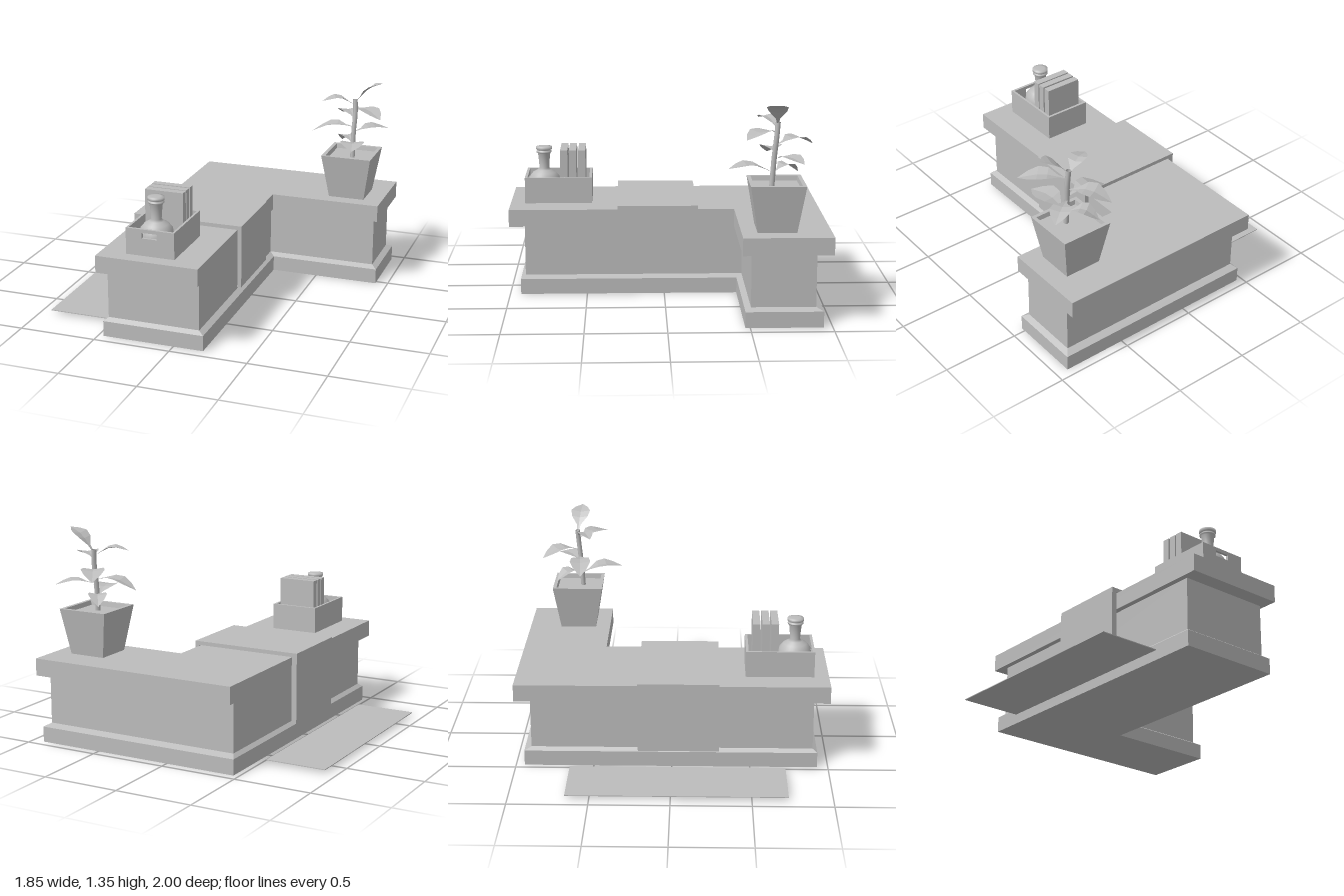
import * as THREE from 'three';

const plainGrey = new THREE.MeshStandardMaterial({ color: 0xbcbcbc, side: THREE.DoubleSide });

function add(parent, name, geometry, x = 0, y = 0, z = 0) {
  const mesh = new THREE.Mesh(geometry, plainGrey);
  mesh.name = name;
  mesh.position.set(x, y, z);
  parent.add(mesh);
  return mesh;
}

function addBox(parent, name, x0, x1, y0, y1, z0, z1) {
  return add(parent, name, new THREE.BoxGeometry(x1 - x0, y1 - y0, z1 - z0),
    (x0 + x1) / 2, (y0 + y1) / 2, (z0 + z1) / 2);
}

// Flat-sided solid through stacked outlines: rings are [y, [[x, z], ...]]
function loft(rings) {
  const pos = [];
  const put = (ring, i) => {
    const p = ring[1][i % ring[1].length];
    pos.push(p[0], ring[0], p[1]);
  };
  for (let r = 0; r < rings.length - 1; r++) {
    const a = rings[r], b = rings[r + 1];
    for (let i = 0; i < a[1].length; i++) {
      put(a, i); put(a, i + 1); put(b, i + 1);
      put(a, i); put(b, i + 1); put(b, i);
    }
  }
  const cap = (ring, flip) => {
    const contour = ring[1].map(([x, z]) => new THREE.Vector2(x, -z));
    for (const f of THREE.ShapeUtils.triangulateShape(contour, [])) {
      for (const i of flip ? [f[0], f[2], f[1]] : f) put(ring, i);
    }
  };
  cap(rings[0], true);
  cap(rings[rings.length - 1], false);
  const g = new THREE.BufferGeometry();
  g.setAttribute('position', new THREE.Float32BufferAttribute(pos, 3));
  g.computeVertexNormals();
  return g;
}

const ell = (x0, x1, xi, z0, z1, zi) =>
  [[x0, z1], [xi, z1], [xi, zi], [x1, zi], [x1, z0], [x0, z0]];
const square = (s) => [[-s, s], [s, s], [s, -s], [-s, -s]];

// Folded leaf along a bent midrib, pointed at the tip
function leafGeometry(base, mid, tip, width) {
  const rib = new THREE.CatmullRomCurve3([base, mid, tip]);
  const side = new THREE.Vector3(tip.z - base.z, 0, base.x - tip.x).normalize();
  const widths = [0.06, 0.2, 0.85, 1, 0.65, 0];
  const pos = [], index = [];
  widths.forEach((w, i) => {
    const p = rib.getPoint(i / (widths.length - 1));
    for (const s of [-1, 0, 1]) {
      const q = p.clone().addScaledVector(side, s * w * width);
      pos.push(q.x, q.y + Math.abs(s) * w * 0.012, q.z);
    }
    if (i === 0) return;
    for (const k of [0, 1]) {
      const a = (i - 1) * 3 + k, b = a + 3;
      index.push(a, a + 1, b + 1, a, b + 1, b);
    }
  });
  const g = new THREE.BufferGeometry();
  g.setAttribute('position', new THREE.Float32BufferAttribute(pos, 3));
  g.setIndex(index);
  const flat = g.toNonIndexed();
  flat.computeVertexNormals();
  return flat;
}

export function createModel() {
  const model = new THREE.Group();
  model.name = 'cornerCounter';

  // L-shaped counter: plinth with sloped ledge, body and top slab
  const plinth = ell(-0.465, 0.92, 0.195, -0.945, 0.93, -0.47);
  const body = ell(-0.44, 0.885, 0.16, -0.9, 0.9, -0.505);
  const slab = ell(-0.475, 0.92, 0.19, -1, 1, -0.45);
  add(model, 'counterBody', loft([[0, plinth], [0.1, plinth], [0.12, body], [0.45, body]]));
  add(model, 'counterTop', loft([[0.45, slab], [0.56, slab]]));

  // Runner draped over the long arm, longer on the outer side
  const drape = new THREE.Shape([[-0.515, 0.13], [-0.48, 0.13], [-0.48, 0.565], [0.195, 0.565],
    [0.195, 0.175], [0.222, 0.175], [0.222, 0.59], [-0.515, 0.59]]
    .map(([x, y]) => new THREE.Vector2(x, y)));
  add(model, 'drapedRunner',
    new THREE.ExtrudeGeometry(drape, { depth: 0.515, bevelEnabled: false }), 0, 0, -0.215);

  // Floor mat
  addBox(model, 'floorMat', -0.925, -0.53, 0.02, 0.025, -0.65, 0.725);

  // Open crate with a handle slot in the front wall
  const crate = new THREE.Group();
  crate.name = 'crate';
  model.add(crate);
  addBox(crate, 'crateFloor', -0.295, -0.01, 0.56, 0.575, 0.485, 0.885);
  addBox(crate, 'crateBack', -0.31, 0.005, 0.56, 0.73, 0.468, 0.485);
  for (const x of [-0.31, -0.01]) addBox(crate, 'crateSide', x, x + 0.015, 0.56, 0.73, 0.485, 0.888);
  const rect = (x0, x1, y0, y1) =>
    [[x0, y0], [x1, y0], [x1, y1], [x0, y1]].map(([x, y]) => new THREE.Vector2(x, y));
  const front = new THREE.Shape(rect(-0.31, 0.005, 0.56, 0.73));
  front.holes.push(new THREE.Path(rect(-0.205, -0.105, 0.672, 0.708)));
  add(crate, 'crateFront',
    new THREE.ExtrudeGeometry(front, { depth: 0.017, bevelEnabled: false }), 0, 0, 0.888);

  // Books standing in the crate
  for (const z of [0.51, 0.57, 0.627]) {
    addBox(crate, 'book', -0.277, -0.027, 0.575, 0.905, z, z + 0.047);
  }

  // Bottle with round belly, slim neck and lip
  const bottle = [[0, 0.575], [0.085, 0.575], [0.104, 0.6], [0.108, 0.66], [0.1, 0.705],
    [0.075, 0.735], [0.045, 0.752], [0.032, 0.765], [0.036, 0.82], [0.041, 0.865], [0.05, 0.87],
    [0.05, 0.878], [0.043, 0.882], [0.043, 0.888], [0.052, 0.89], [0.052, 0.907], [0.03, 0.91], [0, 0.91]];
  add(crate, 'bottle', new THREE.LatheGeometry(
    bottle.map(([r, y]) => new THREE.Vector2(r, y)), 28), -0.157, 0, 0.785);

  // Square tapered pot with recessed soil
  const plant = new THREE.Group();
  plant.name = 'pottedPlant';
  model.add(plant);
  add(plant, 'pot', loft([[0.56, square(0.12)], [0.855, square(0.168)],
    [0.855, square(0.145)], [0.825, square(0.141)]]), 0.678, 0, -0.667);

  // Stem
  const v = (x, y, z) => new THREE.Vector3(x, y, z);
  const stem = new THREE.CatmullRomCurve3(
    [v(0.69, 0.82, -0.638), v(0.69, 1, -0.65), v(0.695, 1.13, -0.663), v(0.69, 1.22, -0.67)]);
  const stemGeometry = new THREE.TubeGeometry(stem, 10, 0.016, 8);
  add(plant, 'stem', stemGeometry);

  // Leaves: base height, mid-leaf height, tip position, half width
  const leaves = [
    [1.2, 1.305, [0.88, 1.35, -0.645], 0.065],
    [1.18, 1.235, [0.49, 1.215, -0.57], 0.055],
    [1.16, 1.185, [0.913, 1.15, -0.465], 0.07],
    [1.08, 1.115, [0.55, 1.06, -0.9], 0.075],
    [1.03, 1.045, [0.4, 0.98, -0.635], 0.07],
    [1.0, 1.025, [0.895, 1.0, -0.81], 0.065],
    [0.91, 0.965, [0.75, 0.945, -0.37], 0.08],
    [0.91, 0.95, [0.57, 0.89, -0.81], 0.06],
  ];
  for (const [y0, y1, tip, width] of leaves) {
    const base = stem.getPoint((y0 - 0.82) / 0.4);
    base.y = y0;
    const end = v(...tip);
    const mid = base.clone().lerp(end, 0.5).setY(y1);
    add(plant, 'leaf', leafGeometry(base, mid, end, width));
  }
  return model;
}
